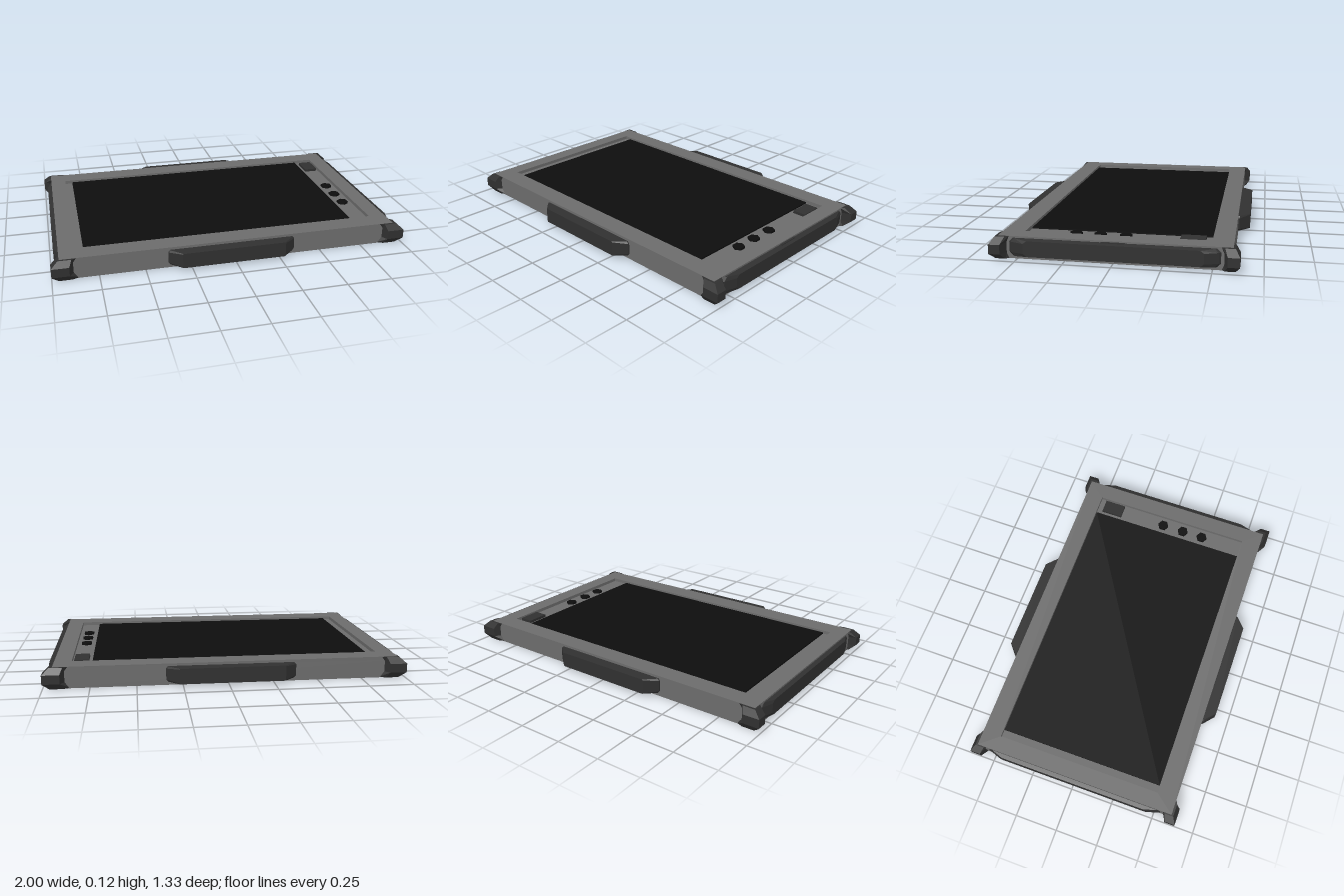
import * as THREE from 'three';

const mat = (name, color, flatShading = true) => {
  const m = new THREE.MeshStandardMaterial({ color, flatShading });
  m.name = name;
  return m;
};

// Joins rings of [x, y, z] points into a closed faceted solid
function loft(rings, flip = false) {
  const pos = [];
  const tri = (a, b, c) => pos.push(...a, ...(flip ? c : b), ...(flip ? b : c));
  const n = rings[0].length;
  for (let i = 0; i + 1 < rings.length; i++) {
    for (let k = 0; k < n; k++) {
      const j = (k + 1) % n, r = rings[i], s = rings[i + 1];
      tri(r[k], r[j], s[j]);
      tri(r[k], s[j], s[k]);
    }
  }
  const first = rings[0], last = rings[rings.length - 1];
  for (let k = 1; k + 1 < n; k++) {
    tri(first[0], first[k + 1], first[k]);
    tri(last[0], last[k], last[k + 1]);
  }
  const g = new THREE.BufferGeometry();
  g.setAttribute('position', new THREE.Float32BufferAttribute(pos, 3));
  g.computeVertexNormals();
  return g;
}

// Counterclockwise rectangle with cut corners
const octagon = (hu, hv, cu, cv) => [
  [hu, -hv + cv], [hu, hv - cv], [hu - cu, hv], [-hu + cu, hv],
  [-hu, hv - cv], [-hu, -hv + cv], [-hu + cu, -hv], [hu - cu, -hv],
];

export function createModel() {
  const model = new THREE.Group();
  model.name = 'ruggedTablet';
  const grey = mat('caseGrey', 0x6c6c6c);
  const rubber = mat('darkRubber', 0x303030);
  const black = mat('screenBlack', 0x0d0d0d);

  const add = (name, geometry, material, x = 0, y = 0, z = 0) => {
    const mesh = new THREE.Mesh(geometry, material);
    mesh.name = name;
    mesh.position.set(x, y, z);
    model.add(mesh);
    return mesh;
  };

  // Case: lower slab and raised frame around the recessed panel
  const floor = 0.1, top = 0.12;
  add('caseBody', new THREE.BoxGeometry(1.9, floor, 1.2), grey, -0.005, floor / 2, 0);
  const rect = (T, x0, y0, x1, y1) => new T().moveTo(x0, y0).lineTo(x1, y0).lineTo(x1, y1).lineTo(x0, y1).closePath();
  const frame = rect(THREE.Shape, -0.955, -0.6, 0.945, 0.6);
  frame.holes.push(rect(THREE.Path, -0.865, -0.485, 0.85, 0.49));
  const frameGeo = new THREE.ExtrudeGeometry(frame, { depth: top - floor, bevelEnabled: false });
  frameGeo.rotateX(-Math.PI / 2);
  add('caseFrame', frameGeo, grey, 0, floor, 0);

  // Panel details
  add('screen', new THREE.BoxGeometry(1.56, 0.008, 0.972), black, -0.04, floor + 0.004, -0.0025);
  add('sensor', new THREE.BoxGeometry(0.08, 0.016, 0.13), rubber, 0.8, floor + 0.008, -0.39);
  for (const z of [-0.04, 0.095, 0.225]) {
    add('button', new THREE.CylinderGeometry(0.034, 0.034, 0.012, 6), black, 0.795, floor + 0.006, z);
  }

  // Corner guards, widest at mid height; outlines run from inside the case around the corner
  const rim = [[0.92, 0.58], [0.855, 0.595], [0.89, 0.612], [0.962, 0.612], [0.962, 0.56], [0.94, 0.54]];
  const waist = [[0.92, 0.58], [0.88, 0.595], [0.905, 0.635], [1, 0.635], [1, 0.575], [0.94, 0.555]];
  const levels = [[0.001, rim], [0.035, waist], [0.085, waist], [0.119, rim]];
  for (const sx of [-1, 1]) {
    for (const sz of [-1, 1]) {
      const rings = levels.map(([y, pts]) => pts.map(([x, z]) => [sx * x, y, sz * z]));
      add('cornerGuard', loft(rings, sx * sz < 0), rubber);
    }
  }

  // Side bumpers, tapered outwards
  const bumper = loft([
    octagon(0.048, 0.55, 0.02, 0.02).map(([y, z]) => [0.94, y, z]),
    octagon(0.048, 0.53, 0.02, 0.02).map(([y, z]) => [0.955, y, z]),
    octagon(0.042, 0.46, 0.015, 0.02).map(([y, z]) => [0.978, y, z]),
  ]);
  add('leftBumper', bumper, rubber, -0.002, 0.063, 0);
  add('rightBumper', bumper, rubber, -0.002, 0.063, 0).rotation.y = Math.PI;
  add('bumperTab', new THREE.BoxGeometry(0.015, 0.006, 0.12), rubber, 0.95, 0.111, 0);

  // Hand grips on the front and back edges
  const grip = loft([
    octagon(0.358, 0.043, 0.01, 0.012).map(([x, y]) => [x, y, 0.595]),
    octagon(0.358, 0.043, 0.01, 0.012).map(([x, y]) => [x, y, 0.607]),
    octagon(0.29, 0.043, 0.004, 0.004).map(([x, y]) => [x, y, 0.665]),
  ]);
  add('frontGrip', grip, rubber, -0.017, 0.063, 0);
  add('backGrip', grip, rubber, -0.017, 0.063, 0).rotation.y = Math.PI;

  return model;
}
